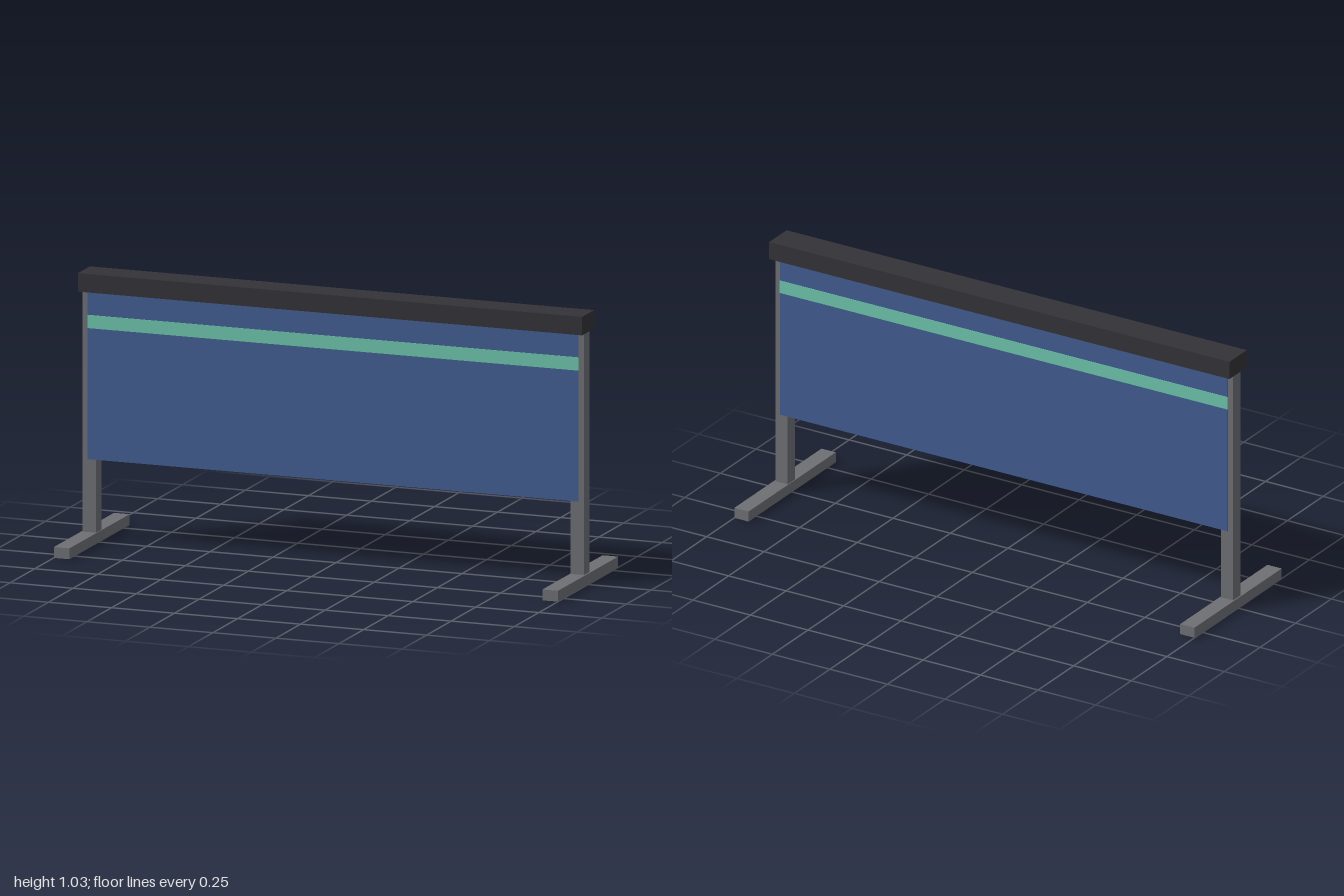
import * as THREE from 'three';

export function createModel() {
  const group = new THREE.Group();
  const mat = (color) => new THREE.MeshStandardMaterial({ color });
  const steel = mat(0x6e6f74);
  const dark = mat(0x333338);
  const blue = mat(0x415d92);
  const green = mat(0x6cc3aa);
  const tan = mat(0xb09a84);

  // Box given by its centre x, bottom and top y, width and depth
  const box = (name, x, y0, y1, width, depth, material) => {
    const mesh = new THREE.Mesh(new THREE.BoxGeometry(width, y1 - y0, depth), material);
    mesh.name = name;
    mesh.position.set(x, (y0 + y1) / 2, 0);
    group.add(mesh);
  };

  // Stand at each end: floor foot and upright post
  for (const [side, s] of [['left', 1], ['right', -1]]) {
    box(side + 'Foot', s * 0.969, 0, 0.041, 0.062, 0.612, steel);
    box(side + 'Post', s * 0.968, 0.041, 0.957, 0.053, 0.053, steel);
  }

  // Top rail and the thin core that shows in the gap beneath it
  box('topRail', 0, 0.957, 1.027, 2, 0.122, dark);
  box('panelCore', 0, 0.93, 0.957, 1.89, 0.03, tan);

  // Hanging panel with a stripe standing slightly proud on both faces
  box('panel', 0, 0.318, 0.951, 1.946, 0.06, blue);
  box('stripe', 0, 0.815, 0.865, 1.947, 0.064, green);

  return group;
}
